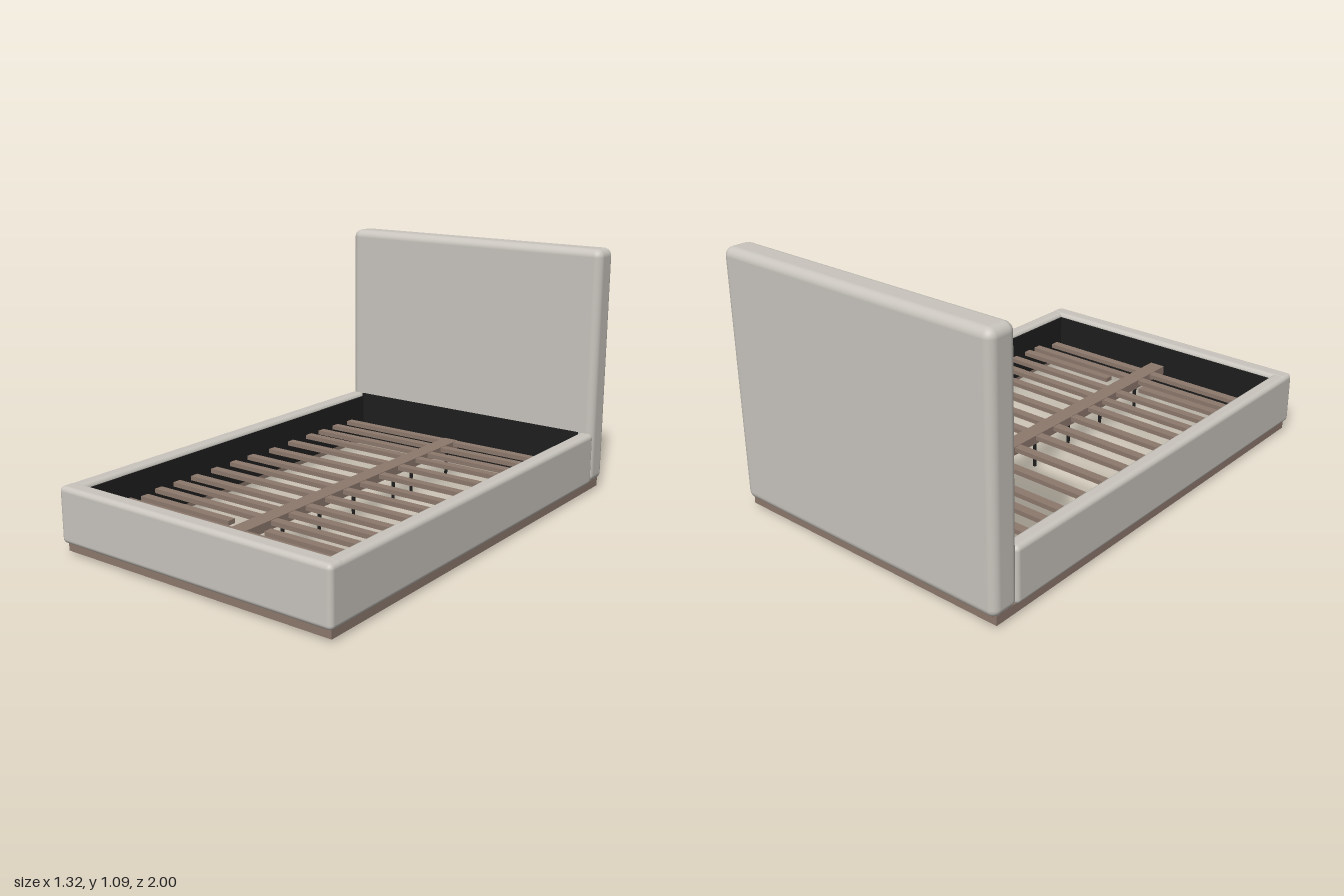
import * as THREE from 'three';
import { RoundedBoxGeometry } from 'three/addons/geometries/RoundedBoxGeometry.js';

export function createModel() {
  const group = new THREE.Group();
  const material = (name, color) => {
    const m = new THREE.MeshStandardMaterial({ color });
    m.name = name;
    return m;
  };
  const fabric = material('greyFabric', 0xc9c5be);
  const wood = material('brownWood', 0x8d796d);
  const black = material('blackLining', 0x1e1e1e);

  // Box given by its min and max on each axis; radius > 0 rounds the edges
  const box = (name, mat, [x0, x1], [y0, y1], [z0, z1], radius = 0) => {
    const size = [x1 - x0, y1 - y0, z1 - z0];
    const geo = radius
      ? new RoundedBoxGeometry(...size, 5, radius)
      : new THREE.BoxGeometry(...size);
    const mesh = new THREE.Mesh(geo, mat);
    mesh.name = name;
    mesh.position.set((x0 + x1) / 2, (y0 + y1) / 2, (z0 + z1) / 2);
    group.add(mesh);
    return mesh;
  };
  // Range on the left (+x) or right (-x) side
  const side = (s, a, b) => (s > 0 ? [a, b] : [-b, -a]);

  // Upholstered headboard, foot rail and side rails
  box('headboard', fabric, [-0.658, 0.658], [0.045, 1.09], [-1, -0.872], 0.035);
  box('footRail', fabric, [-0.66, 0.66], [0.048, 0.28], [0.922, 1], 0.02);
  for (const s of [1, -1]) {
    const label = s > 0 ? 'left' : 'right';
    box(label + 'SideRail', fabric, side(s, 0.594, 0.66), [0.048, 0.279], [-0.885, 0.992], 0.02);
    box(label + 'Lining', black, side(s, 0.588, 0.595), [0.05, 0.262], [-0.87, 0.92]);
    box(label + 'Plinth', wood, side(s, 0.622, 0.645), [0.013, 0.052], [-0.975, 0.978]);
  }

  // Black lining on the inside of the head and foot
  box('headLining', black, [-0.592, 0.592], [0.05, 0.278], [-0.874, -0.867]);
  box('footLining', black, [-0.592, 0.592], [0.05, 0.262], [0.916, 0.923]);

  // Recessed wooden plinth at the two ends
  box('footPlinth', wood, [-0.645, 0.645], [0.013, 0.052], [0.955, 0.978]);
  box('headPlinth', wood, [-0.645, 0.645], [0.013, 0.052], [-0.975, -0.952]);

  // Centre beam and its legs
  box('centreBeam', wood, [-0.036, 0.036], [0.13, 0.168], [-0.76, 0.915]);
  for (const z of [0.73, 0.46, 0.23, 0, -0.29, -0.43, -0.72]) {
    const leg = new THREE.Mesh(new THREE.CylinderGeometry(0.009, 0.007, 0.135, 10), black);
    leg.name = 'centreLeg';
    leg.position.set(0, 0.0675, z);
    group.add(leg);
  }

  // Slats: z, start x, end x
  const slats = [
    [-0.74, -0.58, 0.57], [-0.635], [-0.525], [-0.43], [-0.295],
    [-0.152, -0.58, 0.57], [-0.016], [0.1], [0.22], [0.343], [0.446], [0.55],
    [0.65, -0.565, -0.09], [0.65, 0.09, 0.59], [0.723], [0.815, -0.545, 0.55],
  ];
  for (const [z, x0 = -0.59, x1 = 0.59] of slats) {
    box('slat', wood, [x0, x1], [0.147, 0.166], [z - 0.019, z + 0.019]);
  }
  return group;
}
